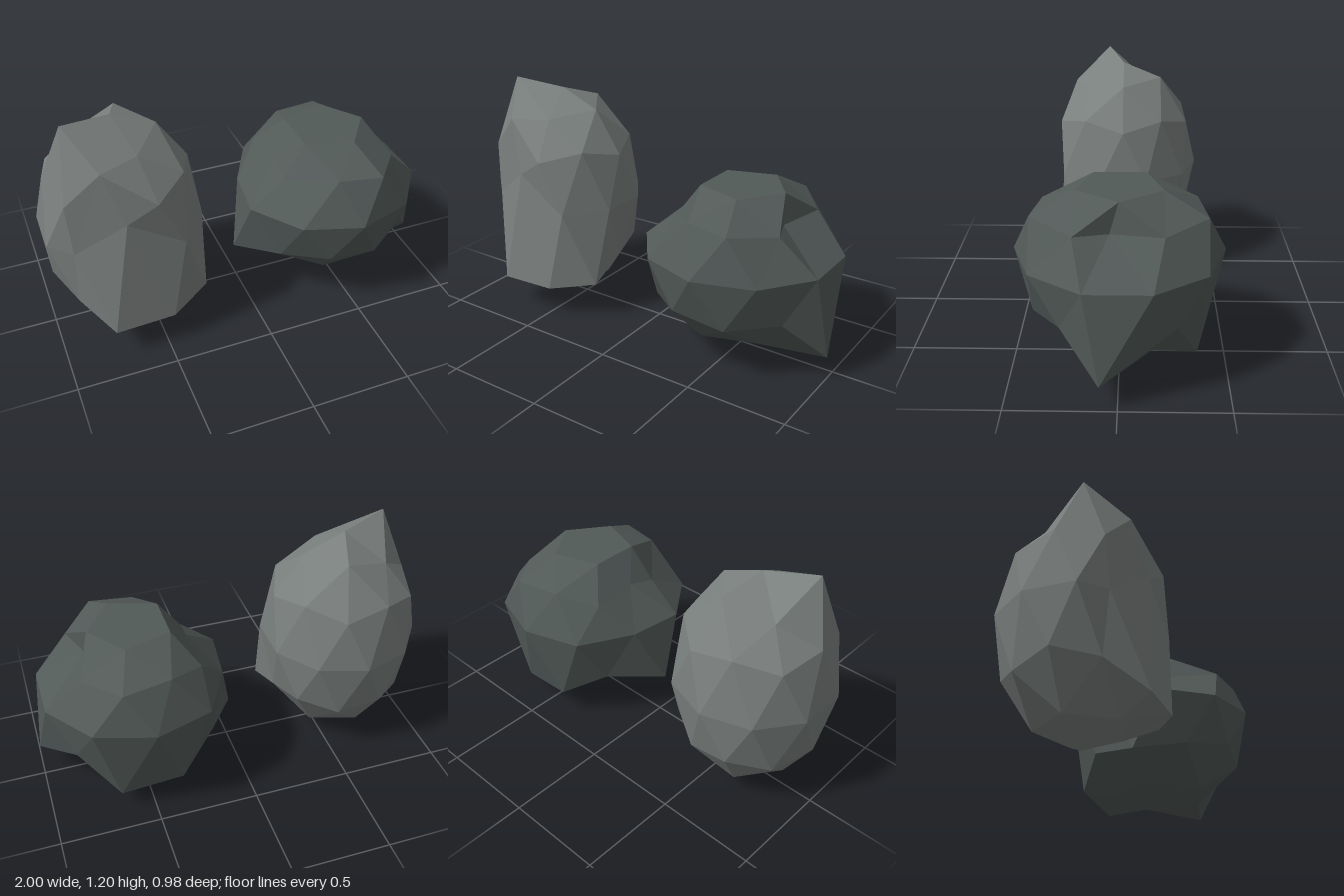
import * as THREE from 'three';

// Faceted boulder: a pole-up icosphere, stretched, with some corners pulled to new places.
// moves: [direction of corner on unit sphere, new position]
function boulder(name, color, center, size, crown, moves) {
  const geo = new THREE.IcosahedronGeometry(1, 1);
  geo.rotateZ(-Math.atan(2 / (1 + Math.sqrt(5))));
  const pos = geo.attributes.position;
  const v = new THREE.Vector3();
  const dirs = moves.map(([d]) => new THREE.Vector3(...d).normalize());
  for (let i = 0; i < pos.count; i++) {
    v.fromBufferAttribute(pos, i).normalize();
    const hit = dirs.findIndex((d) => d.distanceTo(v) < 0.12);
    if (hit >= 0) {
      v.set(...moves[hit][1]);
    } else {
      // the crown ring may be drawn in and the top cut level
      if (v.y > 0.8) { v.x *= crown.inset; v.z *= crown.inset; }
      v.multiply(size).add(center);
      v.y = Math.min(v.y, crown.top);
    }
    pos.setXYZ(i, v.x, v.y, v.z);
  }
  geo.deleteAttribute('uv');
  geo.computeVertexNormals();
  const mesh = new THREE.Mesh(geo, new THREE.MeshStandardMaterial({ color, flatShading: true }));
  mesh.name = name;
  return mesh;
}

export function createModel() {
  const group = new THREE.Group();
  group.name = 'rocks';

  // tall pale rock with a sheared front and a leaning peak
  group.add(boulder('tallRock', 0x7a807e,
    new THREE.Vector3(-0.615, 0.59, 0), new THREE.Vector3(0.405, 0.59, 0.405),
    { inset: 1, top: 1.16 }, [
      [[-0.425, 0.85, 0.309], [-0.86, 1.2, 0.085]],
      [[-0.425, 0.85, -0.309], [-0.79, 1.02, -0.13]],
      [[0.526, 0.85, 0], [-0.4, 1.07, 0]],
      [[0.162, 0.85, 0.5], [-0.55, 1.04, 0.2]],
      [[-0.263, 0.526, 0.81], [-0.74, 1.03, 0.27]],
      [[0, 0, 1], [-0.65, 0.76, 0.32]],
      [[-0.588, 0, 0.809], [-0.89, 0.59, 0.23]],
      [[-0.276, -0.447, 0.85], [-0.76, 0.16, 0.365]],
      [[0.263, -0.526, 0.81], [-0.46, 0.17, 0.36]],
      [[0.724, -0.447, 0.526], [-0.25, 0.2, 0.23]],
    ]));

  // squat dark rock with a level top, a notch and jutting lower corners
  group.add(boulder('squatRock', 0x525a58,
    new THREE.Vector3(0.49, 0.54, 0), new THREE.Vector3(0.49, 0.49, 0.49),
    { inset: 0.816, top: 0.85 }, [
      [[0.85, -0.526, 0], [1.0, 0.12, 0.08]],
      [[-0.894, -0.447, 0], [-0.02, 0.22, 0.02]],
      [[0.263, -0.526, -0.81], [0.66, 0.095, -0.36]],
      [[-0.276, -0.447, -0.85], [0.35, 0.15, -0.39]],
      [[-0.951, 0, -0.309], [0.06, 0.54, -0.13]],
      [[0.894, 0.447, 0], [0.72, 0.71, 0.04]],
      [[0.688, 0.526, 0.5], [0.78, 0.72, 0.2]],
      [[0.688, 0.526, -0.5], [0.78, 0.72, -0.2]],
      [[0.276, 0.447, 0.85], [0.62, 0.75, 0.4]],
      [[0.276, 0.447, -0.85], [0.62, 0.745, -0.4]],
      [[-0.263, 0.526, 0.81], [0.4, 0.755, 0.36]],
      [[-0.263, 0.526, -0.81], [0.38, 0.755, -0.36]],
      [[-0.724, 0.447, 0.526], [0.2, 0.68, 0.15]],
      [[-0.724, 0.447, -0.526], [0.2, 0.7, -0.24]],
      [[-0.85, 0.526, 0], [0.21, 0.72, 0]],
    ]));

  return group;
}
